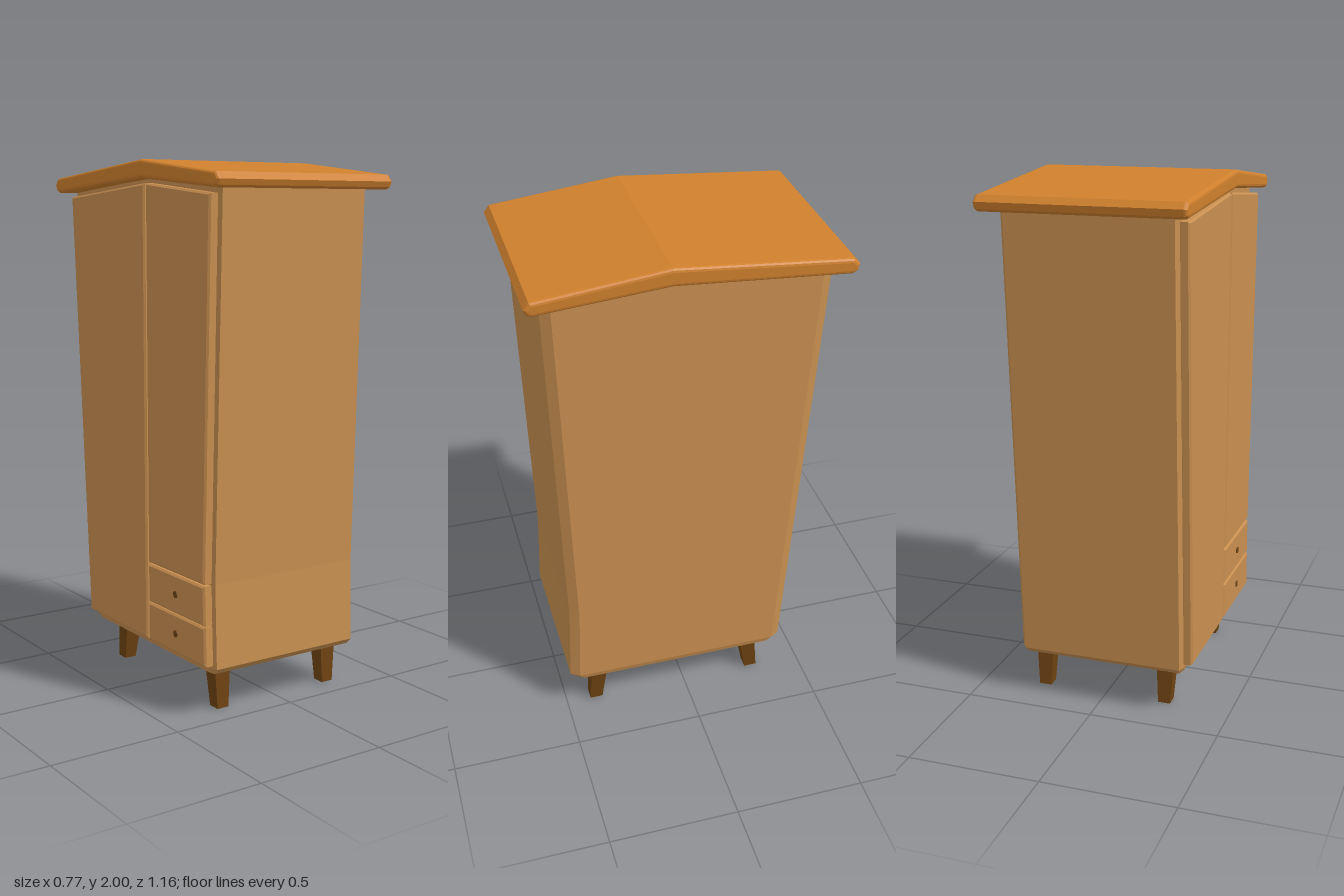
import * as THREE from 'three';

const mat = (name, color) => {
  const m = new THREE.MeshStandardMaterial({ color });
  m.name = name;
  return m;
};

// Slanted edges of the cabinet as functions of height
const lerp = THREE.MathUtils.lerp;
const backZ = y => lerp(-0.4, -0.51, (y - 0.18) / 1.71);
const frontZ = y => (y < 0.5 ? lerp(0.485, 0.475, (y - 0.18) / 0.32) : lerp(0.475, 0.52, (y - 0.5) / 1.39));
const RIDGE = 0.08;
const gableY = z => 1.935 - 0.042 * Math.abs(z - RIDGE) / 0.5;

// Cabinet outline at one height, with chamfered corners
function ring(y, inset, gable) {
  const f = frontZ(y) - inset, b = backZ(y) + inset, l = -0.33 + inset * 0.3, r = 0.325 - inset * 0.3;
  return [
    [l + 0.008, f], [r - 0.022, f], [r, f - 0.035], [r, RIDGE], [r, b + 0.035],
    [r - 0.022, b], [l + 0.008, b], [l, b + 0.03], [l, RIDGE], [l, f - 0.03],
  ].map(([x, z]) => new THREE.Vector3(x, gable ? gableY(z) : y, z));
}

function cabinetGeometry() {
  const rings = [ring(0.165, 0.02), ring(0.187, 0), ring(0.5, 0), ring(1.89, 0, true)];
  const pos = [];
  const tri = (...pts) => pts.forEach(p => pos.push(p.x, p.y, p.z));
  const n = rings[0].length, last = rings.length - 1;
  const bottom = new THREE.Vector3(0, 0.165, RIDGE), top = new THREE.Vector3(0, 1.935, RIDGE);
  for (let i = 0; i < n; i++) {
    const j = (i + 1) % n;
    for (let k = 0; k < last; k++) {
      const a = rings[k], b = rings[k + 1];
      tri(a[i], a[j], b[j]);
      tri(a[i], b[j], b[i]);
    }
    tri(bottom, rings[0][j], rings[0][i]);
    tri(top, rings[last][i], rings[last][j]);
  }
  const g = new THREE.BufferGeometry();
  g.setAttribute('position', new THREE.Float32BufferAttribute(pos, 3));
  g.computeVertexNormals();
  return g;
}

// Side profile given as [z, y] points, extruded towards -x from startX
function profileGeometry(points, startX, width, bevel, segments) {
  const shape = new THREE.Shape(points.map(p => new THREE.Vector2(...p)));
  const g = new THREE.ExtrudeGeometry(shape, {
    depth: width - 2 * bevel, bevelThickness: bevel, bevelSize: bevel,
    bevelOffset: -bevel, bevelSegments: segments,
  });
  g.translate(0, 0, bevel);
  g.rotateY(-Math.PI / 2);
  g.translate(startX, 0, 0);
  return g;
}

// Tapered, leaning four-sided leg
function legGeometry(top, bottom) {
  const g = new THREE.BoxGeometry(1, 1, 1);
  const p = g.attributes.position;
  for (let i = 0; i < p.count; i++) {
    const e = p.getY(i) > 0 ? top : bottom;
    p.setXYZ(i, e.x + p.getX(i) * e.w, e.y, e.z + p.getZ(i) * e.d);
  }
  const flat = g.toNonIndexed();
  flat.computeVertexNormals();
  return flat;
}

export function createModel() {
  const wood = mat('light wood', 0xc88f50);
  const roofWood = mat('orange wood', 0xcf802d);
  const legWood = mat('dark wood', 0x6e4312);
  const model = new THREE.Group();
  model.name = 'wardrobe';
  const add = (name, geometry, material) => {
    const mesh = new THREE.Mesh(geometry, material);
    mesh.name = name;
    model.add(mesh);
    return mesh;
  };

  add('cabinet', cabinetGeometry(), wood);

  // Shallow gabled top with overhanging rounded edges
  add('roof', profileGeometry([
    [-0.555, 1.887], [RIDGE, 1.932], [0.557, 1.892], [0.573, 1.9], [0.582, 1.92],
    [0.562, 1.945], [RIDGE, 2.0], [-0.558, 1.945], [-0.58, 1.922], [-0.573, 1.897],
  ], 0.385, 0.77, 0.014, 3), roofWood);

  // Doors and drawers on the -x side
  const panel = (name, pts) => add(name, profileGeometry(pts, -0.325, 0.04, 0.007, 1), wood);
  const gap = 0.006, mid = RIDGE;
  panel('tallDoor', [
    [backZ(0.2) + 0.03, 0.2], [mid - gap, 0.2], [mid - gap, 1.915], [backZ(1.87) + 0.03, 1.87],
  ]);
  panel('shortDoor', [
    [mid + gap, 0.503], [frontZ(0.5) - 0.012, 0.503], [frontZ(1.87) - 0.015, 1.875], [mid + gap, 1.915],
  ]);
  for (const [i, y0] of [0.2, 0.35].entries()) {
    const y1 = y0 + 0.147;
    panel('drawer' + (i + 1), [
      [mid + gap, y0], [frontZ(y0) - 0.012, y0], [frontZ(y1) - 0.012, y1], [mid + gap, y1],
    ]);
    const knob = add('drawerKnob' + (i + 1), new THREE.CylinderGeometry(0.013, 0.013, 0.008, 12), legWood);
    knob.rotation.z = Math.PI / 2;
    knob.position.set(-0.365, y0 + 0.075, 0.28);
  }

  // Legs
  for (const [side, x, bx] of [['Left', 0.26, 0.255], ['Right', -0.236, -0.238]]) {
    add('frontLeg' + side, legGeometry(
      { x, y: 0.18, z: 0.362, w: 0.07, d: 0.066 }, { x: bx, y: 0, z: 0.377, w: 0.048, d: 0.05 }), legWood);
    add('backLeg' + side, legGeometry(
      { x, y: 0.18, z: -0.268, w: 0.07, d: 0.066 }, { x: bx, y: 0, z: -0.295, w: 0.048, d: 0.05 }), legWood);
  }
  return model;
}
